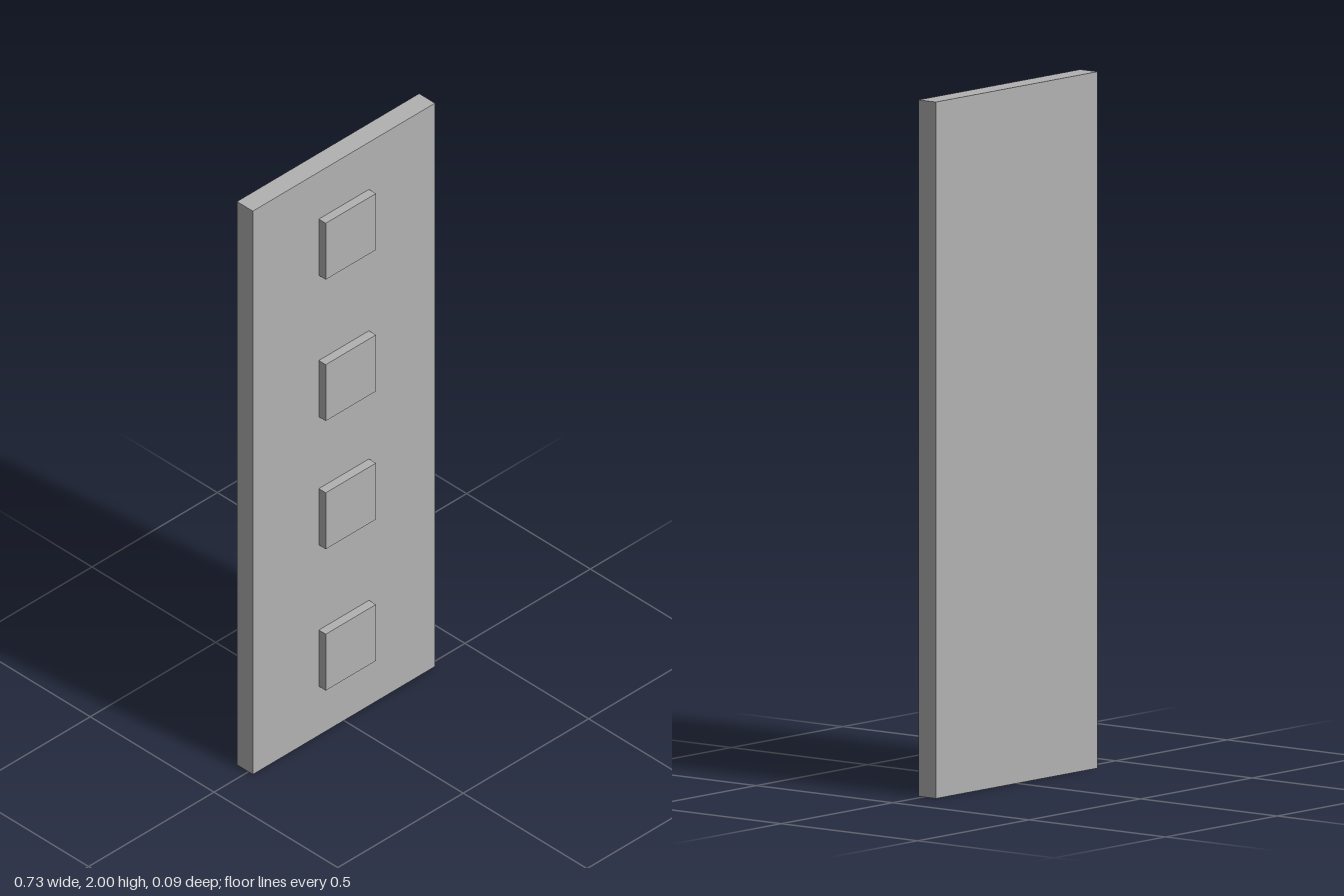
import * as THREE from 'three';

export function createModel() {
  const model = new THREE.Group();
  model.name = 'panelWithBlocks';

  const grey = new THREE.MeshStandardMaterial({ color: 0xb2b2b2 });
  grey.name = 'grey';

  const addBox = (name, size, position) => {
    const mesh = new THREE.Mesh(new THREE.BoxGeometry(...size), grey);
    mesh.name = name;
    mesh.position.set(...position);
    model.add(mesh);
  };

  // Tall upright slab
  const back = -0.046, face = 0.018, front = 0.046;
  addBox('panel', [0.726, 2, face - back], [0, 1, (face + back) / 2]);

  // Column of square blocks raised from the front face
  [0.274, 0.776, 1.231, 1.733].forEach((y, i) => {
    addBox(`frontBlock${i + 1}`, [0.2, 0.2, front - face], [0, y, (front + face) / 2]);
  });

  return model;
}
